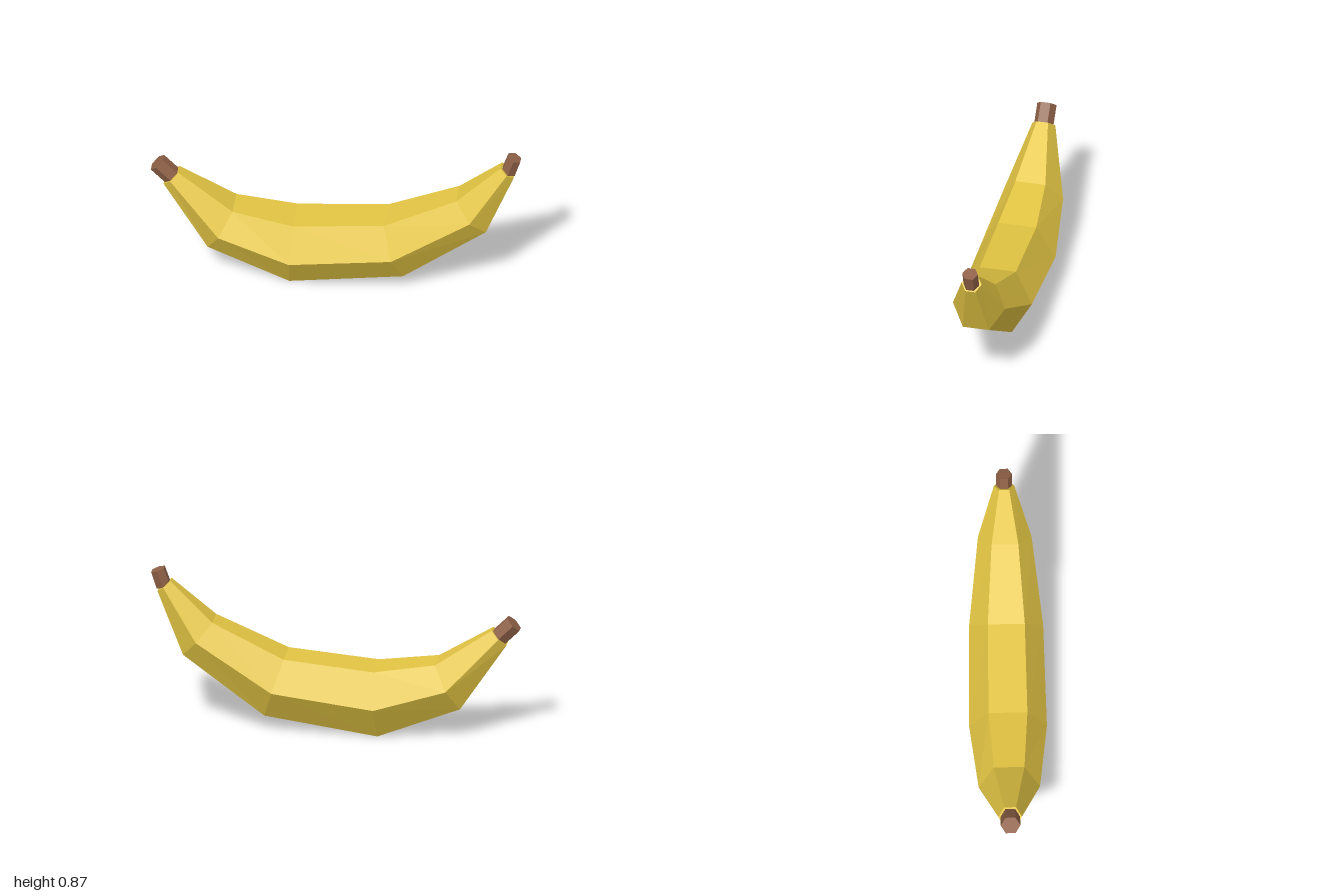
import * as THREE from 'three';

const SIDES = 6;

// Hexagonal loft. Each section: [topX, topY, bottomX, bottomY, half width in z]
function loft(sections, material, name) {
  const rings = sections.map(([tx, ty, bx, by, w]) => {
    const ring = [];
    for (let j = 0; j < SIDES; j++) {
      const a = ((j + 0.5) / SIDES) * Math.PI * 2;
      const k = Math.cos(a) / Math.cos(Math.PI / 6) / 2;
      ring.push([(tx + bx) / 2 + (tx - bx) * k, (ty + by) / 2 + (ty - by) * k, w * Math.sin(a)]);
    }
    return ring;
  });
  const pos = [];
  const tri = (...pts) => pts.forEach((p) => pos.push(...p));
  for (let i = 0; i < rings.length - 1; i++) {
    for (let j = 0; j < SIDES; j++) {
      const n = (j + 1) % SIDES;
      const a = rings[i][j], b = rings[i][n], c = rings[i + 1][n], d = rings[i + 1][j];
      tri(a, b, c);
      tri(a, c, d);
    }
  }
  // End caps
  const first = rings[0], last = rings[rings.length - 1];
  for (let j = 1; j < SIDES - 1; j++) {
    tri(first[0], first[j + 1], first[j]);
    tri(last[0], last[j], last[j + 1]);
  }
  const geometry = new THREE.BufferGeometry();
  geometry.setAttribute('position', new THREE.Float32BufferAttribute(pos, 3));
  geometry.computeVertexNormals();
  const mesh = new THREE.Mesh(geometry, material);
  mesh.name = name;
  return mesh;
}

export function createModel() {
  const peelYellow = new THREE.MeshStandardMaterial({ color: 0xe3c543, flatShading: true });
  peelYellow.name = 'peelYellow';
  const stemBrown = new THREE.MeshStandardMaterial({ color: 0x8f6147, flatShading: true });
  stemBrown.name = 'stemBrown';

  const group = new THREE.Group();
  group.name = 'banana';

  // Curved peel
  group.add(loft([
    [-0.85, 0.61, -0.93, 0.53, 0.063],
    [-0.55, 0.415, -0.685, 0.17, 0.165],
    [-0.22, 0.365, -0.24, 0, 0.209],
    [0.27, 0.41, 0.375, 0.085, 0.199],
    [0.66, 0.59, 0.82, 0.4, 0.144],
    [0.895, 0.8, 0.965, 0.74, 0.055],
  ], peelYellow, 'peel'));

  // Short stubs at both ends
  group.add(loft([
    [-0.935, 0.68, -1, 0.615, 0.053],
    [-0.857, 0.602, -0.922, 0.537, 0.053],
  ], stemBrown, 'rightStub'));
  group.add(loft([
    [0.899, 0.777, 0.97, 0.752, 0.043],
    [0.932, 0.87, 1, 0.845, 0.043],
  ], stemBrown, 'leftStub'));

  return group;
}
